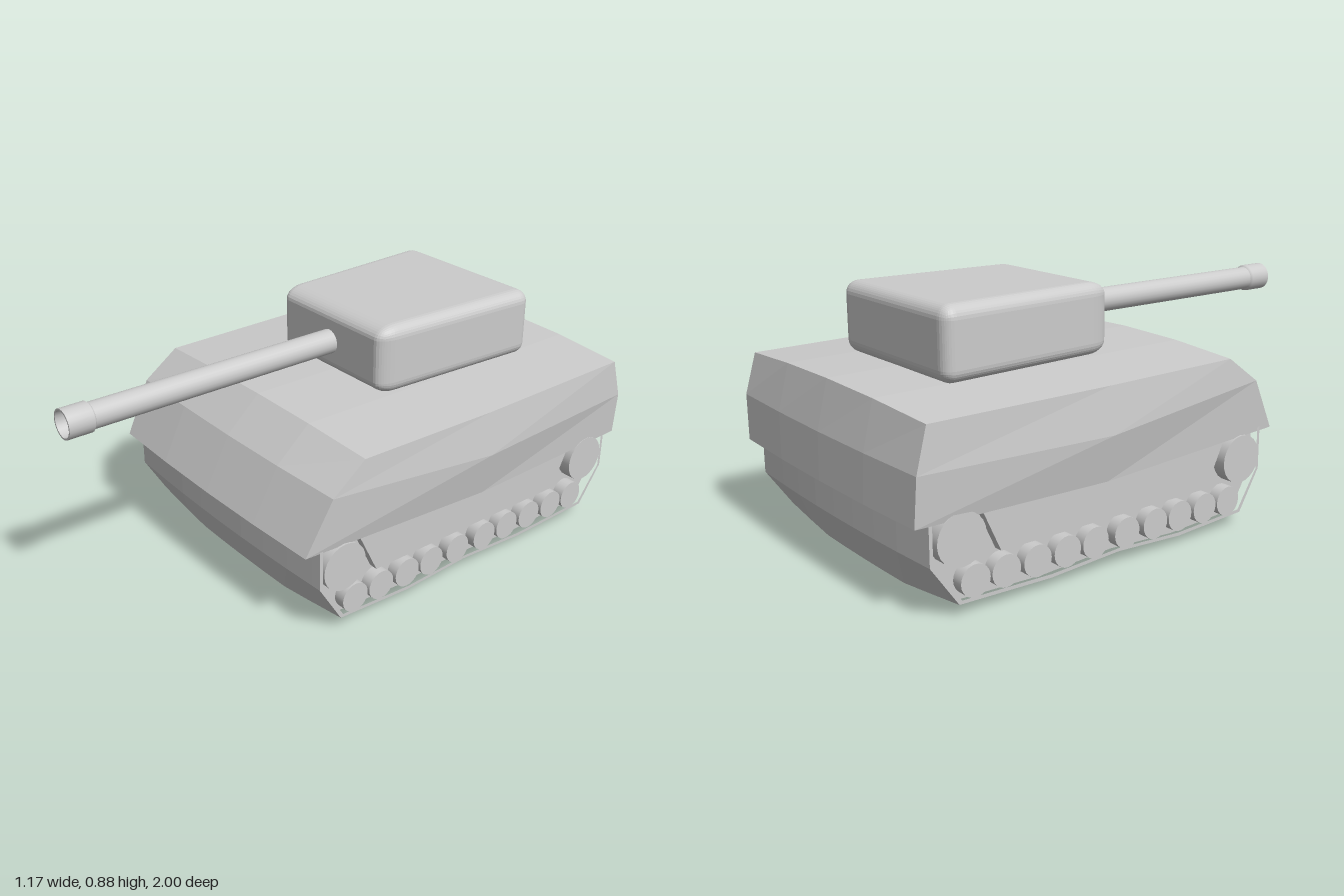
import * as THREE from 'three';
import { RoundedBoxGeometry } from 'three/addons/geometries/RoundedBoxGeometry.js';

const grey = new THREE.MeshStandardMaterial({ color: 0xcccccc });

// Move every vertex by a rule, then rebuild the normals
function deform(geometry, rule) {
  const p = geometry.attributes.position;
  const v = new THREE.Vector3();
  for (let i = 0; i < p.count; i++) {
    v.fromBufferAttribute(p, i);
    rule(v);
    p.setXYZ(i, v.x, v.y, v.z);
  }
  geometry.computeVertexNormals();
  return geometry;
}

// Extrude a (z, y) side profile across x, from x1 down to x0
function sideExtrude(shape, x0, x1, steps = 1) {
  return new THREE.ExtrudeGeometry(shape, { depth: x1 - x0, steps, bevelEnabled: false })
    .rotateY(-Math.PI / 2).translate(x1, 0, 0);
}

const shapeOf = (points) => new THREE.Shape(points.map(([z, y]) => new THREE.Vector2(z, y)));

export function createModel() {
  const group = new THREE.Group();
  const add = (name, geometry, parent = group) => {
    const mesh = new THREE.Mesh(geometry, grey);
    mesh.name = name;
    parent.add(mesh);
    return mesh;
  };

  // Upper hull: a coarse box grid; rows are bottom, middle, top; columns are back, middle, front
  const hullZ = [[-0.985, -0.28, 0.488], [-0.98, -0.28, 0.39], [-0.94, -0.28, 0.26]];
  const hullY = [[0.31, 0.30, 0.332], [0.47, 0.46, 0.52], [0.635, 0.638, 0.638]];
  const hullX = [[0.545, 0.552, 0.54], [0.557, 0.585, 0.555], [0.552, 0.565, 0.552]];
  add('upperHull', deform(new THREE.BoxGeometry(2, 2, 2, 4, 2, 2).toNonIndexed(), (v) => {
    const row = Math.round(v.y) + 1, col = Math.round(v.z) + 1;
    const u = v.x, end = col - 1;
    v.set(
      u * hullX[row][col],
      hullY[row][col] - (row === 2 ? 0.022 * u * u : 0),
      hullZ[row][col] + end * 0.013 * (1 - u * u),
    );
  }));

  // Lower hull: track-shaped profile, bowed at both ends and sagging in the middle
  const profile = [[0.432, 0.36], [0.432, 0.19], [0.345, 0.045], [0.05, 0.03], [-0.22, 0.045],
    [-0.5, 0.03], [-0.84, 0.04], [-0.937, 0.18], [-0.937, 0.36]];
  const bow = (v) => {
    if (v.y < 0.1) v.y -= 0.03 * THREE.MathUtils.clamp((0.54 - Math.abs(v.x)) / 0.29, 0, 1);
    const end = v.z > 0.3 ? 1 : v.z < -0.8 ? -1 : 0;
    v.z += end * 0.016 * (1 - (v.x / 0.54) ** 2);
  };
  add('lowerHull', deform(sideExtrude(shapeOf(profile), -0.5, 0.5, 8), bow));

  // Running gear on both sides
  const rim = shapeOf(profile);
  const midZ = -0.25, midY = 0.2;
  rim.holes.push(shapeOf(profile.map(([z, y]) =>
    [midZ + (z - midZ) * 0.983, midY + (y - midY) * 0.93])));
  const panel = shapeOf([[0.27, 0.34], [0.185, 0.165], [-0.68, 0.165], [-0.76, 0.34]]);
  const roadZ = [0.283, 0.17, 0.053, -0.06, -0.185, -0.318, -0.433, -0.55, -0.668, -0.78];
  for (const side of [1, -1]) {
    const gear = new THREE.Group();
    gear.name = side > 0 ? 'leftTrack' : 'rightTrack';
    group.add(gear);
    const span = (a, b) => (side > 0 ? [a, b] : [-b, -a]);
    add('trackRim', deform(sideExtrude(rim, ...span(0.5, 0.542)), bow), gear);
    add('sidePanel', sideExtrude(panel, ...span(0.5, 0.532)), gear);
    const wheel = (name, radius, outer, y, z) => {
      const width = outer - 0.48;
      add(name, new THREE.CylinderGeometry(radius, radius, width, 24).rotateZ(Math.PI / 2), gear)
        .position.set(side * (outer - width / 2), y, z);
    };
    for (const z of [0.335, -0.83]) wheel('endWheel', 0.086, 0.55, 0.245, z);
    for (const z of roadZ) wheel('roadWheel', 0.053, 0.542, 0.1, z);
  }

  // Turret: rounded box, narrower towards the front, with a longer front bevel
  const r = 0.045, halfZ = 0.325;
  const turret = new RoundedBoxGeometry(2 * 0.3, 0.247, 2 * halfZ, 4, r);
  add('turret', deform(turret, (v) => {
    const t = (v.z + halfZ) / (2 * halfZ);
    v.x *= THREE.MathUtils.lerp(0.32, 0.28, t) / 0.3;
    const over = v.z - (halfZ - r);
    if (over > 0) v.z += over * 0.7;
    v.y += 0.7525;
    v.z -= 0.395;
  }));

  // Gun barrel with a thicker, hollow muzzle
  const lathe = (points) => new THREE.LatheGeometry(
    points.map(([x, y]) => new THREE.Vector2(x, y)), 24).rotateX(Math.PI / 2);
  add('barrel', new THREE.CylinderGeometry(0.044, 0.044, 1.02, 24, 1, true)
    .rotateX(Math.PI / 2)).position.set(0, 0.75, 0.4);
  const muzzle = new THREE.Group();
  muzzle.name = 'muzzle';
  muzzle.position.y = 0.75;
  group.add(muzzle);
  add('muzzleSleeve', lathe([[0.044, 0.905], [0.051, 0.912], [0.051, 1]]), muzzle);
  add('muzzleLip', lathe([[0.051, 1], [0.045, 1]]), muzzle);
  add('muzzleBore', lathe([[0.045, 1], [0.043, 0.88]]), muzzle);
  add('boreEnd', new THREE.CircleGeometry(0.043, 24), muzzle).position.z = 0.88;

  return group;
}
